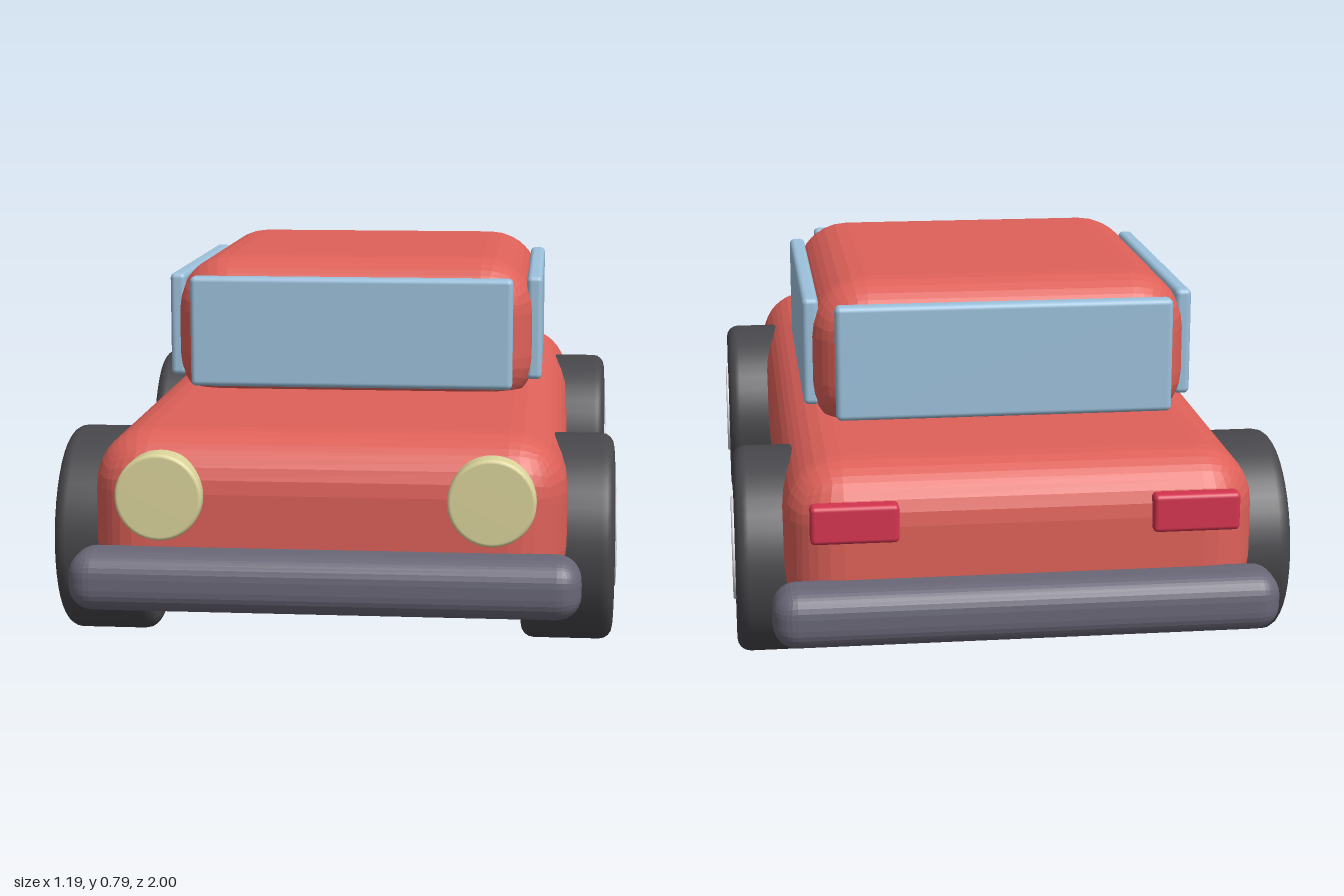
import * as THREE from 'three';
import { RoundedBoxGeometry } from 'three/addons/geometries/RoundedBoxGeometry.js';

const mat = (name, color, flatShading = false) => {
  const m = new THREE.MeshStandardMaterial({ color, flatShading });
  m.name = name;
  return m;
};

export function createModel() {
  const paint = mat('redPaint', 0xde6159, true);
  const glass = mat('blueGlass', 0x9cc1dc);
  const rubber = mat('blackRubber', 0x47474b);
  const bumperGrey = mat('bumperGrey', 0x696777, true);
  const hubGrey = mat('hubGrey', 0xdbdadf);
  const lampCream = mat('lampCream', 0xdcd59c);
  const lampRed = mat('lampRed', 0xd4344f);

  const car = new THREE.Group();
  car.name = 'car';

  const add = (name, geometry, material, x, y, z) => {
    const mesh = new THREE.Mesh(geometry, material);
    mesh.name = name;
    mesh.position.set(x, y, z);
    car.add(mesh);
    return mesh;
  };
  const box = (name, [w, h, d], r, material, x, y, z) =>
    add(name, new RoundedBoxGeometry(w, h, d, 4, r), material, x, y, z);

  // Disc along +x with rounded rims, spanning -width/2 to width/2
  const disc = (radius, width, bevel) => {
    const pts = [new THREE.Vector2(0, -width / 2)];
    for (const [cy, start] of [[-width / 2 + bevel, -Math.PI / 2], [width / 2 - bevel, 0]]) {
      for (let i = 0; i <= 4; i++) {
        const a = start + (i / 4) * Math.PI / 2;
        pts.push(new THREE.Vector2(radius - bevel + Math.cos(a) * bevel, cy + Math.sin(a) * bevel));
      }
    }
    pts.push(new THREE.Vector2(0, width / 2));
    return new THREE.LatheGeometry(pts, 40).rotateZ(-Math.PI / 2);
  };

  // Shells
  box('body', [0.98, 0.36, 1.82], 0.12, paint, 0, 0.31, 0);
  box('cabin', [0.83, 0.35, 0.88], 0.125, paint, 0, 0.615, -0.115);

  // Windows
  box('windscreen', [0.73, 0.25, 0.04], 0.012, glass, 0, 0.628, 0.34);
  box('rearWindow', [0.73, 0.25, 0.04], 0.012, glass, 0, 0.628, -0.566);

  const tyre = disc(0.222, 0.195, 0.028);
  const hub = disc(0.112, 0.03, 0.004);
  const lamp = disc(0.09, 0.06, 0.008).rotateY(-Math.PI / 2);

  for (const side of [1, -1]) {
    const label = side > 0 ? 'left' : 'right';
    box(label + 'Window', [0.036, 0.238, 0.71], 0.012, glass, side * 0.412, 0.629, -0.112);
    add(label + 'Headlight', lamp, lampCream, side * 0.338, 0.367, 0.905);
    box(label + 'TailLight', [0.18, 0.08, 0.04], 0.01, lampRed, side * 0.35, 0.382, -0.91);

    // Wheels
    for (const end of [1, -1]) {
      const place = label + (end > 0 ? 'Front' : 'Rear');
      add(place + 'Tyre', tyre, rubber, side * 0.4925, 0.225, end * 0.577);
      add(place + 'Hub', hub, hubGrey, side * 0.581, 0.227, end * 0.577);
    }
  }

  // Bumpers
  for (const end of [1, -1]) {
    box(end > 0 ? 'frontBumper' : 'rearBumper', [1.04, 0.124, 0.136], 0.05, bumperGrey, 0, 0.199, end * 0.932);
  }

  return car;
}
